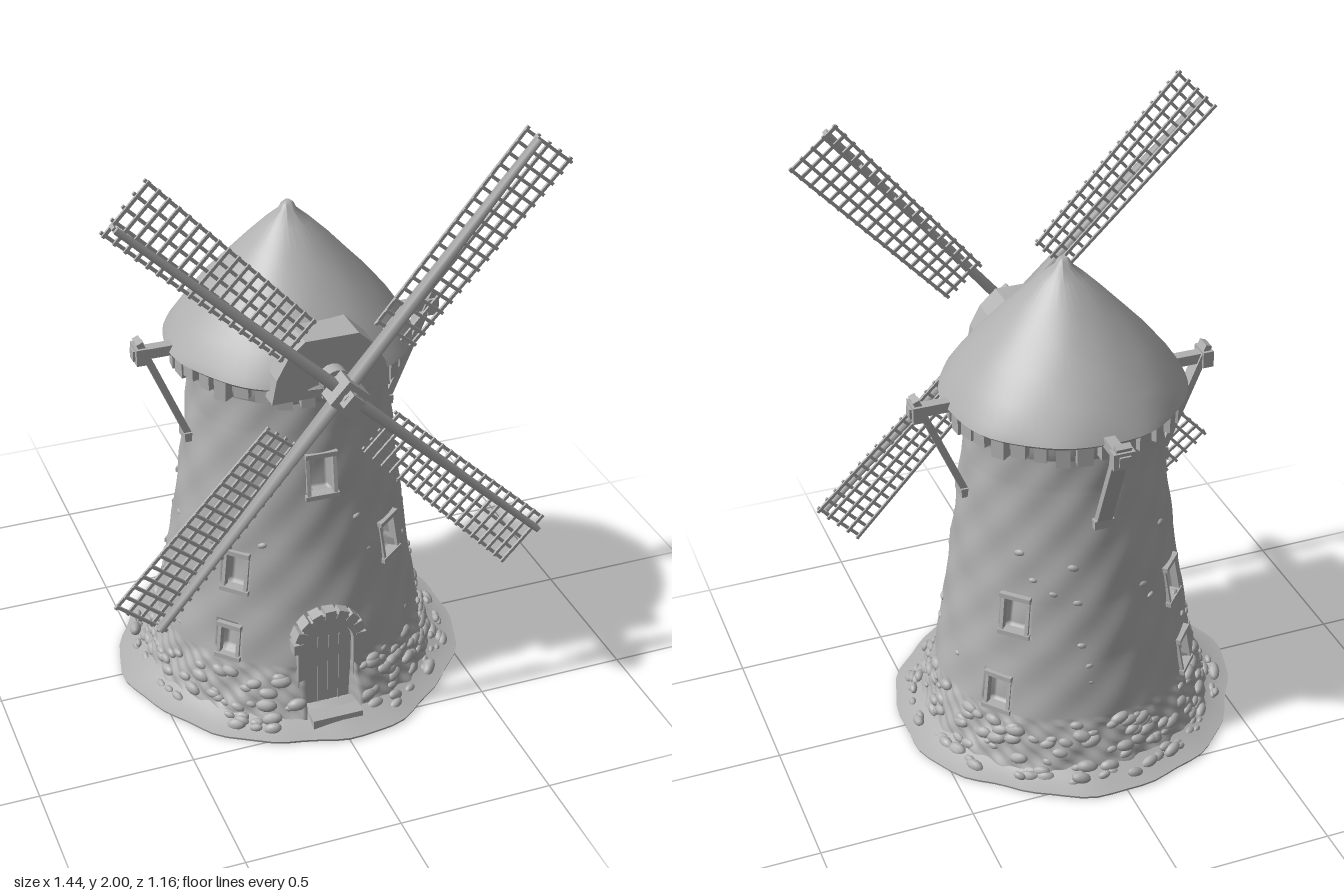
import * as THREE from 'three';
import { mergeVertices, mergeGeometries, toCreasedNormals } from 'three/addons/utils/BufferGeometryUtils.js';

const grey = new THREE.MeshStandardMaterial({ color: 0xb0b0b0 });
grey.name = 'stoneGrey';

const V = (x, y, z) => new THREE.Vector3(x, y, z);
const rad = THREE.MathUtils.degToRad;
let seed = 7;
const rnd = (a, b) => {
  seed = (seed * 16807) % 2147483647;
  return a + (b - a) * seed / 2147483647;
};

function add(parent, name, geo, x = 0, y = 0, z = 0) {
  const m = new THREE.Mesh(geo, grey);
  m.name = name;
  m.position.set(x, y, z);
  parent.add(m);
  return m;
}
const box = (parent, name, w, h, d, x, y, z) => add(parent, name, new THREE.BoxGeometry(w, h, d), x, y, z);

// Square-ended bar from a to b
function bar(parent, name, a, b, w, d) {
  const m = box(parent, name, w, a.distanceTo(b), d, 0, 0, 0);
  m.position.copy(a).lerp(b, 0.5);
  m.quaternion.setFromUnitVectors(V(0, 1, 0), b.clone().sub(a).normalize());
  return m;
}

// Turned surface whose radius is changed by a rule(r, y, angle); angle 0 faces the front
function turned(profile, sides, rule) {
  let g = new THREE.LatheGeometry(profile.map(p => new THREE.Vector2(...p)), sides, Math.PI);
  g.deleteAttribute('uv');
  g.deleteAttribute('normal');
  g = mergeVertices(g, 1e-5);
  const p = g.attributes.position;
  for (let i = 0; i < p.count; i++) {
    const x = p.getX(i), y = p.getY(i), z = p.getZ(i), r = Math.hypot(x, z);
    if (r < 1e-4) continue;
    const k = rule(r, y, Math.atan2(x, z)) / r;
    p.setX(i, x * k);
    p.setZ(i, z * k);
  }
  g.computeVertexNormals();
  return g;
}

// Wall radius at a height
const wallPoints = [[0, 0.5], [0.06, 0.475], [0.2, 0.435], [0.4, 0.4], [0.6, 0.37], [0.8, 0.345], [1, 0.322], [1.16, 0.312]];
function wallR(y) {
  for (let i = 1; i < wallPoints.length; i++) {
    const [y0, r0] = wallPoints[i - 1], [y1, r1] = wallPoints[i];
    if (y <= y1) return r0 + (r1 - r0) * (y - y0) / (y1 - y0);
  }
  return 0.312;
}

// Windows: angle, height, width, tall
const windows = [
  [-2, 0.86, 0.08, 0.13], [39, 0.55, 0.08, 0.12], [-45.5, 0.515, 0.07, 0.12], [-46.5, 0.27, 0.06, 0.1],
  [135, 0.555, 0.08, 0.12], [129, 0.27, 0.075, 0.11], [-133, 0.55, 0.08, 0.12], [-131, 0.27, 0.075, 0.11],
];

function buildTower(g) {
  const prof = [];
  for (let i = 0; i <= 116; i++) prof.push([wallR(i * 0.01), i * 0.01]);
  add(g, 'towerWall', turned(prof, 200, (r, y, t) => {
    let k = r + 0.004 * Math.sin(5 * t + 9 * y) * Math.sin(14 * y + 2 * t) + 0.002 * Math.sin(13 * t - 31 * y);
    if (y < 0.2) k += 0.006 * Math.sin(31 * t + 40 * y) * Math.sin(90 * y + 9 * t);
    for (const [a, wy, w, h] of windows) {
      const d = Math.atan2(Math.sin(t - rad(a)), Math.cos(t - rad(a))) * r;
      if (Math.abs(d) < w / 2 && Math.abs(y - wy) < h / 2) k -= 0.035;
    }
    const x = r * Math.sin(t) + 0.014;
    if (Math.abs(x) < 0.08 && Math.cos(t) > 0 && y < 0.34) k = Math.min(k, 0.4);
    return k;
  }));

  // Window surrounds
  for (const [a, y, w, h] of windows) {
    const s = new THREE.Group();
    s.name = 'windowSurround';
    s.rotation.y = rad(a);
    g.add(s);
    const r = wallR(y), lean = V(0, h / 2, -0.09 * h);
    box(s, 'windowSill', w + 0.03, 0.016, 0.035, 0, y - h / 2 - 0.005, r + 0.002);
    box(s, 'windowLintel', w + 0.025, 0.016, 0.03, 0, y + h / 2 + 0.005, r - 0.012);
    for (const sx of [-1, 1]) {
      const c = V(sx * (w / 2 + 0.004), y, r - 0.007);
      bar(s, 'windowJamb', c.clone().sub(lean), c.clone().add(lean), 0.012, 0.024);
    }
  }

  // Arched door, its stone surround and step
  const arch = (w, top) => {
    const s = new THREE.Shape();
    s.moveTo(-w, 0.02);
    s.lineTo(w, 0.02);
    s.lineTo(w, top - w);
    s.absarc(0, top - w, w, 0, Math.PI);
    return s;
  };
  const extrude = (s, depth) => new THREE.ExtrudeGeometry(s, { depth, bevelEnabled: false, curveSegments: 16 });
  add(g, 'door', extrude(arch(0.076, 0.355), 0.025), -0.014, 0, 0.395);
  const frame = arch(0.108, 0.395);
  frame.holes.push(arch(0.08, 0.358));
  add(g, 'doorSurround', extrude(frame, 0.075), -0.014, 0, 0.36);
  for (const x of [-0.05, -0.014, 0.022]) box(g, 'doorPlankSeam', 0.005, 0.27, 0.006, x, 0.17, 0.42);
  for (let i = 0; i <= 8; i++) {
    const t = Math.PI * i / 8;
    const m = box(g, 'archStone', 0.034, 0.036, 0.05, -0.014 + 0.106 * Math.cos(t), 0.285 + 0.106 * Math.sin(t), 0.413);
    m.rotation.z = t;
  }
  box(g, 'doorStep', 0.17, 0.04, 0.13, -0.014, 0.03, 0.45);
}

function buildGround(g) {
  const prof = [[0, 0], [0.3, 0], [0.57, 0], [0.572, 0.008], [0.54, 0.016], [0.5, 0.032], [0.44, 0.06]];
  add(g, 'groundMound', toCreasedNormals(turned(prof, 72, (r, y, t) => r < 0.45 ? r
    : r + 0.009 * Math.sin(4 * t + 1) + 0.008 * Math.sin(7 * t) + 0.004 * Math.sin(17 * t + 2)), 0.9));
  // Rubble round the foot, with a few loose stones higher up
  const stones = [];
  for (let i = 0; i < 300; i++) {
    const t = rnd(-Math.PI, Math.PI), high = i > 265;
    const y = high ? rnd(0.2, 0.8) : 0.02 + 0.17 * rnd(0, 1) ** 1.5, s = high ? rnd(0.01, 0.016) : rnd(0.014, 0.03);
    const r = wallR(y) - 0.002 + (y < 0.05 ? rnd(0, 0.04) : 0);
    if (Math.abs(r * Math.sin(t) + 0.014) < 0.115 && Math.cos(t) > 0) continue;
    const b = new THREE.IcosahedronGeometry(1, 1);
    b.rotateZ(rnd(0, 3));
    b.scale(s * 1.2, s * 0.75, s * 0.65);
    b.rotateZ(rnd(-0.4, 0.4));
    b.translate(0, y, r);
    b.rotateY(t);
    stones.push(b);
  }
  add(g, 'rubbleStones', mergeGeometries(stones));
}

function buildCap(g) {
  const roof = [[0, 1.19], [0.2, 1.19], [0.375, 1.185], [0.392, 1.2], [0.38, 1.225], [0.335, 1.29], [0.27, 1.37],
    [0.205, 1.44], [0.135, 1.515], [0.07, 1.58], [0.028, 1.617], [0.02, 1.635], [0.008, 1.645], [0, 1.646]];
  add(g, 'roof', toCreasedNormals(turned(roof, 72, (r, y, t) =>
    r * (1 + 0.008 * Math.sin(5 * t + 8 * y) + 0.006 * Math.sin(9 * t - 25 * y))), 0.8));
  // Collar under the eaves with its row of beam ends
  add(g, 'collarRing', toCreasedNormals(turned([[0.3, 1.12], [0.335, 1.12], [0.345, 1.15], [0.345, 1.2]], 64, r => r), 0.5));
  for (let i = 0; i < 34; i++) {
    const p = new THREE.Group();
    p.name = 'eavesBeam';
    p.rotation.y = i / 34 * Math.PI * 2;
    g.add(p);
    const h = rnd(0.045, 0.075);
    box(p, 'beamEnd', rnd(0.035, 0.055), h, 0.06, 0, 1.195 - h / 2, 0.338 + rnd(0, 0.012));
  }
  // Hood that carries the sail shaft
  const s = new THREE.Shape([[-0.19, 1.17], [0.19, 1.17], [0.175, 1.25], [0.14, 1.315], [0.085, 1.365],
    [-0.085, 1.365], [-0.14, 1.315], [-0.175, 1.25]].map(p => new THREE.Vector2(...p)));
  add(g, 'shaftHood', new THREE.ExtrudeGeometry(s, { depth: 0.335, bevelEnabled: false }), 0, 0, 0.05);
  // Braced beams on both sides and the back
  for (const a of [90, -90, 180]) {
    const b = new THREE.Group();
    b.name = 'bracedBeam';
    b.rotation.y = rad(a);
    g.add(b);
    box(b, 'beam', 0.036, 0.034, 0.22, 0, 1.205, 0.4);
    box(b, 'beamBlock', 0.07, 0.055, 0.036, 0, 1.205, 0.485);
    bar(b, 'brace', V(0, 0.885, 0.335), V(0, 1.25, 0.49), 0.05, 0.022);
    box(b, 'braceFoot', 0.065, 0.03, 0.04, 0, 0.89, 0.335);
  }
}

function buildSails(g) {
  const sails = new THREE.Group();
  sails.name = 'sails';
  sails.position.y = 1.232;
  g.add(sails);
  const shaft = (name, r, z0, z1, sides) => {
    const m = add(sails, name, new THREE.CylinderGeometry(r, r, z1 - z0, sides), 0, 0, (z0 + z1) / 2);
    m.rotation.x = Math.PI / 2;
  };
  shaft('shaft', 0.028, 0.2, 0.55, 16);
  shaft('shaftCollar', 0.045, 0.385, 0.43, 16);
  const hub = box(sails, 'hub', 0.09, 0.09, 0.075, 0, 0, 0.5);
  hub.rotation.z = rad(48);
  const cap = box(sails, 'hubCap', 0.05, 0.05, 0.04, 0, 0, 0.55);
  cap.rotation.z = rad(48);

  for (const a of [50.5, 136.5, 230.5, 316.5]) {
    const s = new THREE.Group();
    s.name = 'sail';
    s.rotation.z = rad(a - 90);
    sails.add(s);
    const stockGeo = new THREE.CylinderGeometry(0.013, 0.024, 0.93, 4);
    stockGeo.rotateY(Math.PI / 4);
    add(s, 'stock', stockGeo, 0, 0.465, 0.482);
    // Lattice widening towards the tip
    const outer = y => 0.112 + 0.04 * (y - 0.225) / 0.7;
    const y0 = 0.215, y1 = 0.942, z = 0.453;
    for (const f of [0, 0.25, 0.5, 0.75, 1]) {
      const x = y => -0.034 + f * (outer(y) + 0.034);
      bar(s, 'latticeRail', V(x(y0), y0, z - 0.004), V(x(y1), y1, z - 0.004), 0.01, 0.008);
    }
    for (let i = 0; i < 18; i++) {
      const y = 0.228 + i * 0.0413;
      bar(s, 'latticeBar', V(-0.042, y, z + 0.003), V(outer(y) + 0.008, y, z + 0.003), 0.01, 0.008);
      if (i % 4 === 1) box(s, 'latticePeg', 0.012, 0.012, 0.03, 0, y, 0.466);
    }
  }
}

export function createModel() {
  const g = new THREE.Group();
  g.name = 'windmill';
  buildGround(g);
  buildTower(g);
  buildCap(g);
  buildSails(g);
  return g;
}
